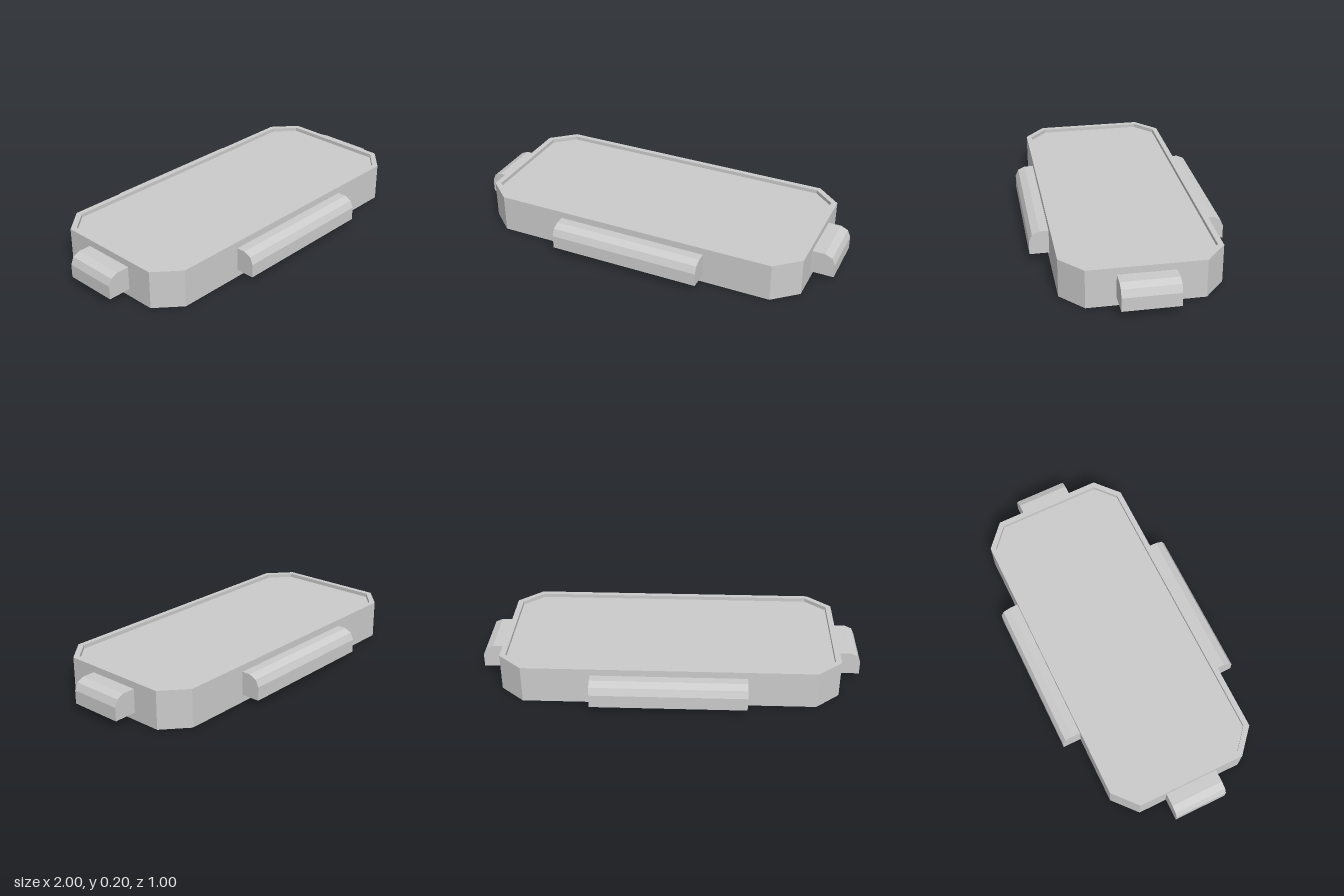
import * as THREE from 'three';

const material = new THREE.MeshStandardMaterial({ color: 0xcccccc, flatShading: true });

// Ring of eight points: a rectangle with cut corners at height y
function octagon(x, z, cx, cz, y) {
  return [[x, cz], [cx, z], [-cx, z], [-x, cz], [-x, -cz], [-cx, -z], [cx, -z], [x, -cz]]
    .map(([px, pz]) => new THREE.Vector3(px, y, pz));
}

// Joins successive rings with flat faces; single-point rings close the ends
function loft(rings) {
  const points = [];
  for (let i = 0; i < rings.length - 1; i++) {
    const lower = rings[i], upper = rings[i + 1];
    for (let j = 0; j < 8; j++) {
      const at = (ring, k) => ring[k % ring.length];
      const a = at(lower, j), b = at(lower, j + 1), c = at(upper, j), d = at(upper, j + 1);
      if (lower.length > 1) points.push(a, c, b);
      if (upper.length > 1) points.push(b, c, d);
    }
  }
  const geometry = new THREE.BufferGeometry().setFromPoints(points);
  geometry.computeVertexNormals();
  return geometry;
}

// Grip with a rounded upper outer edge, pointing along +x
function handleGeometry(inner, outer, length) {
  const shape = new THREE.Shape([
    [inner, 0.04], [outer, 0.04], [outer, 0.11], [outer - 0.016, 0.147],
    [outer - 0.054, 0.164], [inner, 0.164],
  ].map(([x, y]) => new THREE.Vector2(x, y)));
  return new THREE.ExtrudeGeometry(shape, { depth: length, bevelEnabled: false })
    .translate(0, 0, -length / 2);
}

export function createModel() {
  const model = new THREE.Group();
  model.name = 'tray';

  // Solid body with a raised rim around a shallow recess
  const body = new THREE.Mesh(loft([
    [new THREE.Vector3(0, 0, 0)],
    octagon(0.88, 0.4, 0.755, 0.29, 0),
    octagon(0.88, 0.4, 0.755, 0.29, 0.2),
    octagon(0.85, 0.372, 0.743, 0.279, 0.2),
    octagon(0.85, 0.372, 0.743, 0.279, 0.18),
    [new THREE.Vector3(0, 0.18, 0)],
  ]), material);
  body.name = 'trayBody';
  model.add(body);

  // Short grips on the ends, long grips on the front and back
  const endGrip = handleGeometry(0.88, 1, 0.284);
  const longGrip = handleGeometry(0.4, 0.5, 0.8);
  [
    ['leftHandle', endGrip, 0], ['rightHandle', endGrip, Math.PI],
    ['frontHandle', longGrip, -Math.PI / 2], ['backHandle', longGrip, Math.PI / 2],
  ].forEach(([name, geometry, angle]) => {
    const handle = new THREE.Mesh(geometry, material);
    handle.name = name;
    handle.rotation.y = angle;
    model.add(handle);
  });

  return model;
}
